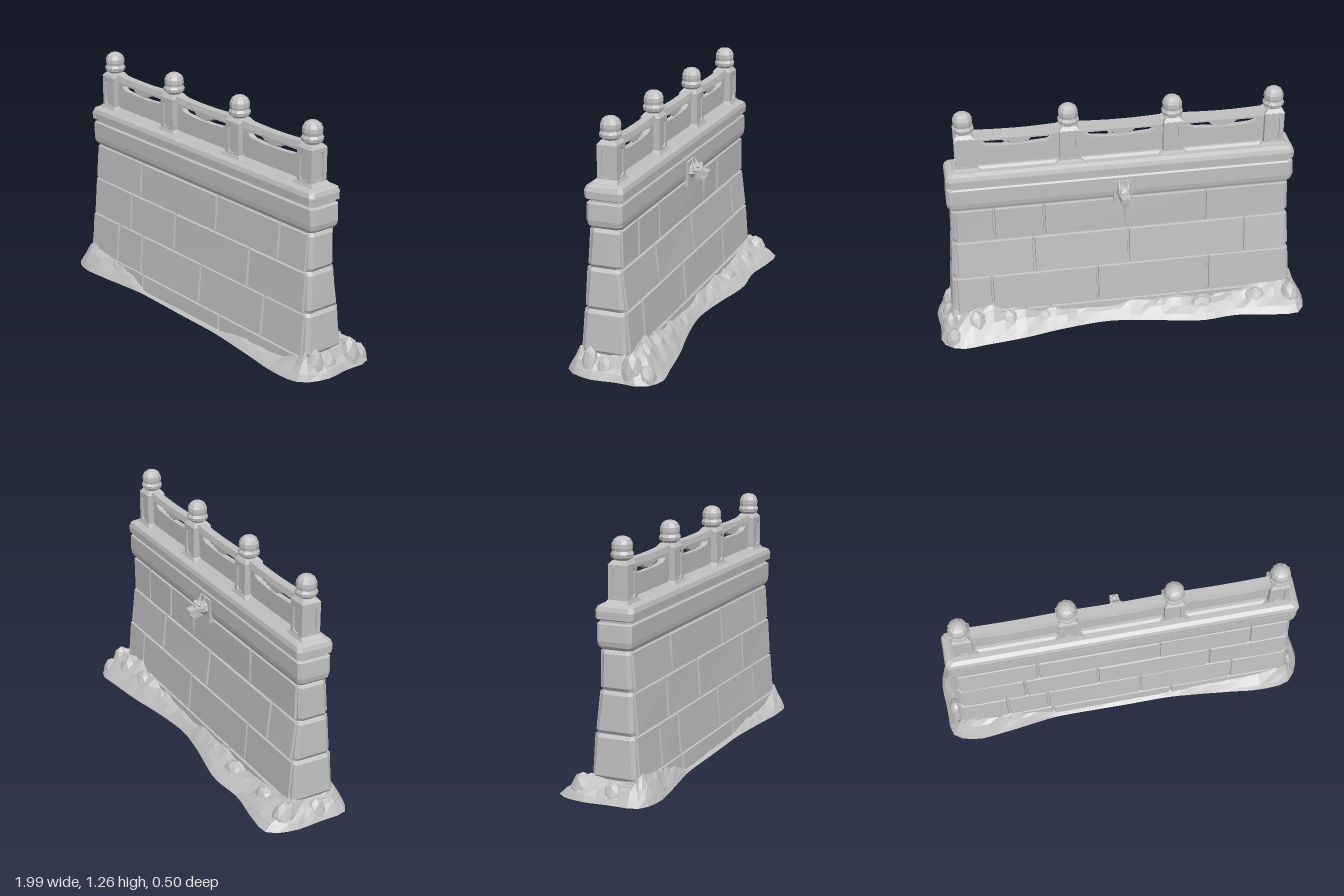
import * as THREE from 'three';

const stone = new THREE.MeshStandardMaterial({ color: 0xbfbfbf, flatShading: true, side: THREE.DoubleSide });
stone.name = 'grey stone';

// Wall outline by height: [y, half length, front z, back z]
const PROFILE = [
  [0, 0.93, 0.175, -0.085], [0.1, 0.92, 0.17, -0.082], [0.32, 0.905, 0.152, -0.066],
  [0.53, 0.893, 0.138, -0.042], [0.725, 0.885, 0.124, -0.041],
];
const COURSES = [0, 0.1, 0.32, 0.53, 0.725];
const POSTS = [-0.797, -0.268, 0.264, 0.793];
const MID_Z = 0.043;

function random(seed) {
  let s = seed;
  return () => (s = (s * 16807) % 2147483647) / 2147483647;
}

function profileAt(y) {
  let k = 0;
  while (k < PROFILE.length - 2 && y > PROFILE[k + 1][0]) k++;
  const a = PROFILE[k], b = PROFILE[k + 1], t = (y - a[0]) / (b[0] - a[0]);
  return a.map((v, i) => THREE.MathUtils.lerp(v, b[i], t));
}

function add(parent, name, geometry, x = 0, y = 0, z = 0) {
  const mesh = new THREE.Mesh(geometry, stone);
  mesh.name = name;
  mesh.position.set(x, y, z);
  parent.add(mesh);
  return mesh;
}

// Skin through closed rings of points, bottom to top, with an optional lid
function loft(rings, lid) {
  const n = rings[0].length, pos = rings.flat(2), index = [];
  for (let r = 0; r < rings.length - 1; r++) {
    for (let i = 0; i < n; i++) {
      const a = r * n + i, b = r * n + (i + 1) % n;
      index.push(a, b, b + n, a, b + n, a + n);
    }
  }
  const top = (rings.length - 1) * n;
  if (lid) for (let i = 1; i < n - 1; i++) index.push(top, top + i, top + i + 1);
  const g = new THREE.BufferGeometry();
  g.setAttribute('position', new THREE.Float32BufferAttribute(pos, 3));
  g.setIndex(index);
  g.computeVertexNormals();
  return g;
}

// Rectangular ring with cut corners
function ring([y, hx, zf, zb], inset = 0, zInset = inset, c = 0.018) {
  const x = hx - inset, f = zf - zInset, b = zb + zInset;
  return [[-x + c, y, f], [x - c, y, f], [x, y, f - c], [x, y, b + c],
    [x - c, y, b], [-x + c, y, b], [-x, y, b + c], [-x, y, f - c]];
}

// Box whose top is scaled, standing on y = 0
function taperedBox(w, h, d, sx, sz = sx) {
  const g = new THREE.BoxGeometry(w, h, d).translate(0, h / 2, 0), p = g.attributes.position;
  for (let i = 0; i < p.count; i++) if (p.getY(i) > h / 2) p.setXYZ(i, p.getX(i) * sx, h, p.getZ(i) * sz);
  g.computeVertexNormals();
  return g;
}

// Bevelled facing stone that follows the wall's slope; side is 1 in front, -1 behind
function facingStone(x0, x1, y0, y1, side, rand) {
  const g = new THREE.BoxGeometry(1, 1, 1), p = g.attributes.position;
  const bulge = [0, 0, 0, 0].map(() => rand() * 0.005);
  for (let i = 0; i < p.count; i++) {
    const right = p.getX(i) > 0, up = p.getY(i) > 0, out = p.getZ(i) * side > 0;
    const e = out ? 0.008 : 0.002;
    const y = up ? y1 - e : y0 + e;
    const face = profileAt(y)[side > 0 ? 2 : 3];
    const z = face + side * (out ? bulge[(right ? 1 : 0) + (up ? 2 : 0)] - 0.001 : -0.02);
    p.setXYZ(i, right ? x1 - e : x0 + e, y, z);
  }
  g.computeVertexNormals();
  return g;
}

function buildWall(group) {
  const rings = [];
  for (let k = 0; k < 4; k++) {
    const y0 = COURSES[k], y1 = COURSES[k + 1];
    [[y0, 0.012], [y0 + 0.018, 0], [y1 - 0.018, 0], [y1, 0.012]].forEach(([y, inset]) =>
      rings.push(ring(profileAt(y), inset, 0.009)));
  }
  // Cornice and coping
  const cornice = [[0.73, 0.885, 0.122, -0.04], [0.745, 0.9, 0.129, -0.046], [0.77, 0.905, 0.132, -0.05],
    [0.85, 0.9, 0.133, -0.05], [0.857, 0.885, 0.122, -0.042], [0.866, 0.885, 0.122, -0.042],
    [0.875, 0.903, 0.141, -0.056], [0.91, 0.903, 0.143, -0.057], [0.932, 0.895, 0.135, -0.05], [0.943, 0.875, 0.115, -0.03]];
  cornice.forEach((c) => rings.push(ring(c)));
  add(group, 'wallCore', loft(rings, true));

  // Vertical joints of each course
  const joints = {
    1: [[-0.4, 0.26], [-0.5, 0.1, 0.55], [-0.53, -0.14, 0.46], [-0.45, 0.19, 0.67]],
    '-1': [[-0.3, 0.4], [-0.46, 0.14, 0.7], [-0.65, -0.03, 0.47], [-0.44, 0.41, 0.67]],
  };
  joints[1][1] = [-0.64, -0.42, 0.09, 0.59];
  const rand = random(11);
  for (const side of [1, -1]) {
    joints[side].forEach((cuts, k) => {
      const end = profileAt(COURSES[k + 1])[1] - 0.016, xs = [-end, ...cuts, end];
      for (let i = 0; i < xs.length - 1; i++) {
        add(group, side > 0 ? 'frontStone' : 'backStone',
          facingStone(xs[i], xs[i + 1], COURSES[k], COURSES[k + 1], side, rand));
      }
    });
  }
}

// Post with a framed niche on each face and a bud finial
function buildPost(x) {
  const post = new THREE.Group();
  post.name = 'post';
  post.position.set(x, 0, MID_Z);
  add(post, 'postFoot', taperedBox(0.17, 0.024, 0.125, 0.62, 0.85), 0, 0.935);
  add(post, 'postCore', new THREE.BoxGeometry(0.086, 0.185, 0.086), 0, 1.034, 0);
  const frame = new THREE.Shape([[-0.05, 0.94], [0.05, 0.94], [0.05, 1.125], [-0.05, 1.125]].map((p) => new THREE.Vector2(...p)));
  frame.holes.push(new THREE.Path([[-0.028, 0.978], [-0.018, 0.965], [0.018, 0.965], [0.028, 0.978],
    [0.028, 1.092], [0.018, 1.106], [-0.018, 1.106], [-0.028, 1.092]].map((p) => new THREE.Vector2(...p))));
  const frameGeo = new THREE.ExtrudeGeometry(frame, { depth: 0.009, bevelEnabled: false }).translate(0, 0, 0.042);
  for (let k = 0; k < 4; k++) add(post, 'nicheFrame', frameGeo).rotation.y = k * Math.PI / 2;
  add(post, 'postCap', taperedBox(0.103, 0.019, 0.103, 0.72), 0, 1.123);
  const bud = [[0.03, 1.135], [0.036, 1.145], [0.053, 1.156], [0.056, 1.172], [0.048, 1.186], [0.051, 1.2],
    [0.05, 1.22], [0.041, 1.239], [0.024, 1.251], [0, 1.256]];
  add(post, 'finial', new THREE.LatheGeometry(bud.map((p) => new THREE.Vector2(...p)), 10));
  return post;
}

// Pierced panel, sagging handrail and sill between two posts
function buildRailing(x0, x1) {
  const bay = new THREE.Group(), w = x1 - x0 - 0.09, h = w / 2;
  bay.name = 'railing';
  bay.position.set((x0 + x1) / 2, 0, MID_Z);
  const panel = new THREE.Shape([[-h, 0.935], [h, 0.935], [h, 1.115], [-h, 1.115]].map((p) => new THREE.Vector2(...p)));
  panel.holes.push(new THREE.Path([[-0.15, 1.06], [-0.06, 1.054], [0.06, 1.054], [0.15, 1.06], [0.182, 1.076], [0.182, 1.088],
    [0.075, 1.088], [0.06, 1.073], [0.035, 1.073], [0.025, 1.063], [-0.025, 1.063], [-0.035, 1.073], [-0.06, 1.073],
    [-0.075, 1.088], [-0.182, 1.088], [-0.182, 1.076]].map((p) => new THREE.Vector2(...p))));
  add(bay, 'piercedPanel', new THREE.ExtrudeGeometry(panel, { depth: 0.03, bevelEnabled: false }), 0, 0, -0.015);
  const rail = new THREE.BoxGeometry(w, 0.034, 0.06, 8, 1, 1), p = rail.attributes.position;
  for (let i = 0; i < p.count; i++) {
    const sag = 0.008 * (1 - (p.getX(i) / h) ** 2);
    const up = p.getY(i) > 0;
    p.setXYZ(i, p.getX(i), p.getY(i) - (up ? sag : 0), p.getZ(i) * (up ? 0.75 : 1));
  }
  rail.computeVertexNormals();
  add(bay, 'handrail', rail, 0, 1.122);
  add(bay, 'sill', taperedBox(w, 0.016, 0.1, 1, 0.6), 0, 0.937);
  return bay;
}

// Beast-head spout with an icicle, on the back
function buildSpout() {
  const spout = new THREE.Group();
  spout.name = 'spout';
  add(spout, 'backPlate', new THREE.BoxGeometry(0.1, 0.135, 0.03), 0, 0.765, -0.045);
  add(spout, 'neck', new THREE.CylinderGeometry(0.03, 0.042, 0.06, 7).rotateX(-Math.PI / 2), 0, 0.775, -0.075);
  add(spout, 'head', new THREE.IcosahedronGeometry(0.036, 1).scale(1, 0.9, 1), 0, 0.785, -0.09);
  add(spout, 'upperJaw', taperedBox(0.058, 0.065, 0.035, 0.75, 0.8).rotateX(-Math.PI / 2 - 0.05), 0, 0.772, -0.094);
  add(spout, 'lowerJaw', taperedBox(0.046, 0.055, 0.018, 0.75, 0.7).rotateX(-Math.PI / 2 - 0.28), 0, 0.752, -0.085);
  add(spout, 'nose', new THREE.IcosahedronGeometry(0.014, 0), 0, 0.78, -0.144);
  for (const s of [-1, 1]) {
    add(spout, 'horn', new THREE.ConeGeometry(0.011, 0.05, 5).rotateX(0.35), s * 0.022, 0.825, -0.075);
    add(spout, 'brow', new THREE.IcosahedronGeometry(0.014, 0), s * 0.02, 0.806, -0.102);
  }
  add(spout, 'icicle', new THREE.ConeGeometry(0.011, 0.125, 6).rotateX(Math.PI), 0, 0.672, -0.125);
  return spout;
}

// Drifted rubble round the foot: each point is [x, height at the wall, z]
function buildRubble(group) {
  const outline = [[-0.97, 0.11, 0.2], [-0.85, 0.14, 0.247], [-0.7, 0.1, 0.238], [-0.5, 0.075, 0.212], [-0.4, 0.025, 0.2],
    [0, 0.02, 0.2], [0.25, 0.02, 0.2], [0.4, 0.05, 0.212], [0.6, 0.05, 0.232], [0.75, 0.075, 0.248], [0.93, 0.12, 0.225],
    [0.995, 0.1, 0.1], [0.985, 0.11, -0.05], [0.985, 0.12, -0.18], [0.9, 0.14, -0.248], [0.75, 0.14, -0.235],
    [0.55, 0.11, -0.21], [0.35, 0.08, -0.17], [0.1, 0.065, -0.142], [-0.1, 0.08, -0.165], [-0.4, 0.08, -0.22],
    [-0.6, 0.08, -0.205], [-0.8, 0.11, -0.235], [-0.94, 0.11, -0.235], [-0.99, 0.11, -0.12], [-0.985, 0.11, 0.05]];
  const pts = new THREE.CatmullRomCurve3(outline.map((p) => new THREE.Vector3(...p)), true).getSpacedPoints(84).slice(0, -1);
  const rand = random(5);
  const rows = [[0, 0], [0.2, 0.3], [0.5, 0.65], [0.8, 0.95], [1, 1]];
  const rings = rows.map(([t, rise]) => pts.map((p) => {
    const ix = THREE.MathUtils.clamp(p.x, -0.905, 0.905), iz = THREE.MathUtils.clamp(p.z, -0.07, 0.155);
    const lump = rise ? 0.75 + 0.4 * rand() : 0;
    return [THREE.MathUtils.lerp(THREE.MathUtils.clamp(p.x, -1, 1), ix, t), Math.max(0, p.y * rise * lump),
      THREE.MathUtils.lerp(p.z, iz, t)];
  }));
  add(group, 'rubbleSkirt', loft(rings, false));

  // Boulders: [x, z, radius x, height, radius z]
  const boulders = [[0.92, 0.11, 0.05, 0.14, 0.05], [0.93, 0.03, 0.045, 0.1, 0.05], [0.93, -0.11, 0.055, 0.142, 0.06],
    [0.92, -0.18, 0.05, 0.085, 0.05], [0.8, -0.12, 0.08, 0.14, 0.07], [0.63, -0.11, 0.08, 0.12, 0.06],
    [0.44, -0.1, 0.07, 0.085, 0.045], [-0.2, -0.1, 0.07, 0.08, 0.04], [-0.42, -0.12, 0.08, 0.085, 0.05],
    [-0.72, -0.11, 0.08, 0.1, 0.06], [-0.91, -0.12, 0.06, 0.12, 0.07], [-0.93, 0.05, 0.045, 0.1, 0.06],
    [-0.85, 0.15, 0.07, 0.15, 0.05], [-0.66, 0.16, 0.07, 0.1, 0.035]];
  for (const [x, z, rx, h, rz] of boulders) {
    const g = new THREE.IcosahedronGeometry(1, 1).rotateY(rand() * 6), p = g.attributes.position;
    for (let i = 0; i < p.count; i++) p.setXYZ(i, p.getX(i) * rx, Math.max(0, p.getY(i)) * h, p.getZ(i) * rz);
    g.computeVertexNormals();
    add(group, 'boulder', g, x, 0, z);
  }
}

export function createModel() {
  const group = new THREE.Group();
  group.name = 'bridgeWall';
  buildWall(group);
  POSTS.forEach((x, i) => {
    group.add(buildPost(x));
    if (i) group.add(buildRailing(POSTS[i - 1], x));
  });
  group.add(buildSpout());
  buildRubble(group);
  return group;
}
